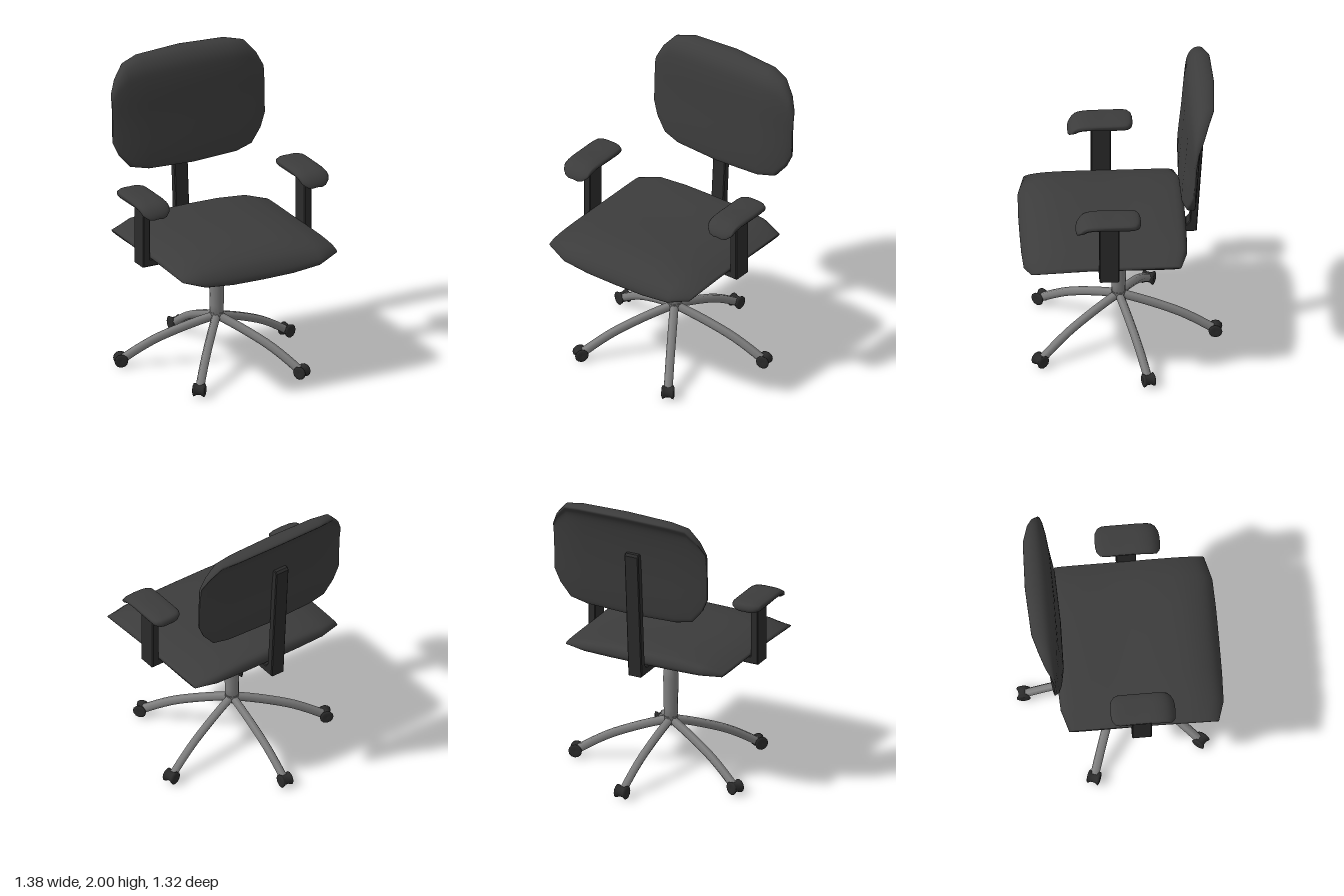
import * as THREE from 'three';

const mat = (color) => new THREE.MeshStandardMaterial({ color, roughness: 0.8 });
const padMat = mat(0x3c3c3c), frameMat = mat(0x2b2b2b), metalMat = mat(0x808080);

function part(name, geometry, material, parent) {
  const mesh = new THREE.Mesh(geometry, material);
  mesh.name = name;
  parent.add(mesh);
  return mesh;
}

// Cushion: a closed (z, y) section lofted along x and pinched towards a pivot.
// Section runs back to front over the top; stations are [x, zScale, yScale], ascending.
function cushion(section, stations, [pz, py], samples) {
  const curve = new THREE.CatmullRomCurve3(section.map(([z, y]) => new THREE.Vector3(0, y, z)), true, 'centripetal');
  const loop = curve.getPoints(samples).slice(0, -1);
  const n = loop.length, pos = [], index = [];
  for (const [x, sz, sy] of stations)
    for (const p of loop) pos.push(x, py + (p.y - py) * sy, pz + (p.z - pz) * sz);
  for (let i = 0; i < stations.length - 1; i++)
    for (let j = 0; j < n; j++) {
      const a = i * n + j, b = i * n + (j + 1) % n;
      index.push(a, b, a + n, b, b + n, a + n);
    }
  // End caps
  const last = (stations.length - 1) * n, c = pos.length / 3;
  pos.push(stations[0][0], py, pz, stations.at(-1)[0], py, pz);
  for (let j = 0; j < n; j++) {
    const k = (j + 1) % n;
    index.push(c, k, j, c + 1, last + j, last + k);
  }
  const geo = new THREE.BufferGeometry();
  geo.setAttribute('position', new THREE.Float32BufferAttribute(pos, 3));
  geo.setIndex(index);
  geo.computeVertexNormals();
  return geo;
}

// Mirrors half stations [x, sz, sy] (centre first) into a full ascending list
const mirrored = (half) => [
  ...half.slice(1).reverse().map(([x, ...s]) => [-x, ...s]), ...half,
];

// Bar with slightly softened edges from an outline, centred on its depth
function bar(points, depth) {
  const bevel = 0.006;
  const shape = new THREE.Shape(points.map(([x, y]) => new THREE.Vector2(x, y)));
  const geo = new THREE.ExtrudeGeometry(shape, {
    depth: depth - 2 * bevel, bevelEnabled: true, bevelSize: bevel, bevelOffset: -bevel,
    bevelThickness: bevel, bevelSegments: 1,
  });
  return geo.translate(0, 0, bevel - depth / 2);
}

export function createModel() {
  const chair = new THREE.Group();
  chair.name = 'officeChair';

  // Seat with a drooping front edge and thin sides
  const seat = cushion(
    [[-0.42, 0.905], [-0.405, 0.945], [-0.36, 0.963], [0, 0.965], [0.36, 0.965], [0.5, 0.945], [0.6, 0.9],
      [0.65, 0.835], [0.652, 0.795], [0.61, 0.81], [0.54, 0.845], [0.42, 0.862], [0, 0.86], [-0.36, 0.862], [-0.41, 0.88]],
    mirrored([[0, 1, 1], [0.22, 0.998, 0.97], [0.42, 0.985, 0.78], [0.567, 0.905, 0.25]]),
    [0.12, 0.88], 60);
  part('seat', seat, padMat, chair).position.x = 0.007;

  // Backrest with the top curled backwards
  const back = cushion(
    [[-0.455, 1.237], [-0.475, 1.32], [-0.5, 1.6], [-0.53, 1.82], [-0.56, 1.93], [-0.605, 1.983], [-0.56, 2.0],
      [-0.5, 1.985], [-0.45, 1.93], [-0.423, 1.83], [-0.4, 1.6], [-0.372, 1.32], [-0.376, 1.25], [-0.41, 1.235]],
    mirrored([[0, 1, 1], [0.32, 0.9, 0.97], [0.44, 0.65, 0.9], [0.515, 0.4, 0.67], [0.557, 0.15, 0.44]]),
    [-0.46, 1.62], 60);
  part('backrest', back, padMat, chair).position.x = 0.052;

  // Bracket under the seat that rises behind the backrest
  const bracket = bar([[-0.1, 0.82], [0.492, 0.82], [0.547, 1.69], [0.535, 1.705], [0.5, 1.705],
    [0.447, 0.9], [0.425, 0.872], [-0.1, 0.872]], 0.1).rotateY(Math.PI / 2);
  part('backBracket', bracket, frameMat, chair).position.x = 0.006;

  // U-shaped arm frame passing under the seat
  const armFrame = bar([[-0.62, 0.82], [0.62, 0.82], [0.62, 1.26], [0.567, 1.26], [0.567, 0.872],
    [-0.567, 0.872], [-0.567, 1.26], [-0.62, 1.26]], 0.13);
  part('armFrame', armFrame, frameMat, chair).position.set(0.005, 0, 0.1);

  // Arm pads, drooping at the front
  const armPad = cushion(
    [[-0.105, 1.265], [-0.095, 1.292], [-0.06, 1.302], [0.08, 1.302], [0.2, 1.3], [0.27, 1.28], [0.31, 1.24],
      [0.318, 1.205], [0.295, 1.205], [0.26, 1.228], [0.2, 1.238], [0.08, 1.235], [-0.06, 1.235], [-0.095, 1.243]],
    mirrored([[0, 1, 0.95], [0.035, 0.995, 1], [0.065, 0.97, 0.9], [0.093, 0.88, 0.62], [0.103, 0.78, 0.3]]),
    [0.105, 1.28], 40);
  for (const side of [-1, 1])
    part(side > 0 ? 'leftArmPad' : 'rightArmPad', armPad, padMat, chair).position.x = side * 0.585;

  // Base: gas column, hub and five arched legs with spool casters
  const base = new THREE.Group();
  base.name = 'base';
  base.position.set(0.007, 0, 0.012);
  chair.add(base);
  const profile = (pts) => pts.map(([r, y]) => new THREE.Vector2(r, y));
  part('column', new THREE.LatheGeometry(profile([[0, 0.3], [0.043, 0.3], [0.046, 0.4], [0.05, 0.62], [0.046, 0.67],
    [0.032, 0.76], [0.03, 0.84]]), 12), metalMat, base);
  part('hub', new THREE.CylinderGeometry(0.048, 0.035, 0.06, 10).translate(0, 0.318, 0), metalMat, base);

  const legPath = new THREE.CatmullRomCurve3([[0, 0.323], [0.1, 0.293], [0.25, 0.24], [0.4, 0.177], [0.52, 0.11], [0.61, 0.052]]
    .map(([r, y]) => new THREE.Vector3(0, y, -r)));
  const legGeo = new THREE.TubeGeometry(legPath, 12, 0.029, 6);
  const casterGeo = new THREE.LatheGeometry(profile([[0, -0.038], [0.03, -0.042], [0.045, -0.036], [0.042, -0.026],
    [0.034, -0.014], [0.034, 0.014], [0.042, 0.026], [0.045, 0.036], [0.03, 0.042], [0, 0.038]]), 12).rotateZ(Math.PI / 2);
  for (let i = 0; i < 5; i++) {
    const leg = new THREE.Group();
    leg.name = 'leg' + (i + 1);
    leg.rotation.y = -(0.047 + i * Math.PI * 0.4);
    part('legTube', legGeo, metalMat, leg);
    part('caster', casterGeo, frameMat, leg).position.set(0, 0.045, -0.627);
    base.add(leg);
  }
  return chair;
}
